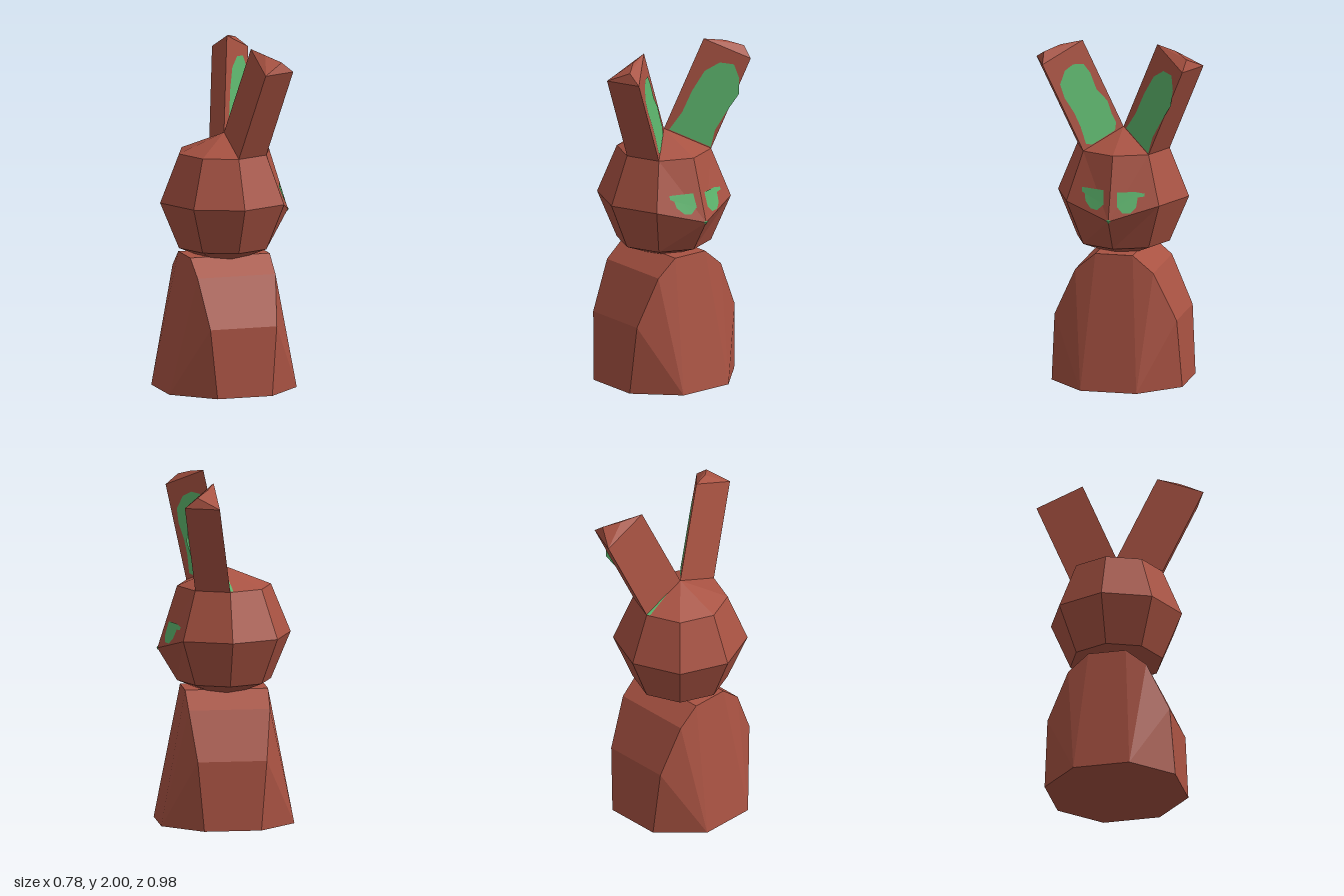
import * as THREE from 'three';

const V = (x, y, z) => new THREE.Vector3(x, y, z);

// Flat-faced closed solid from convex faces; each face is turned away from the centre
function solid(faces) {
  const centre = V(0, 0, 0), all = faces.flat(), out = [];
  all.forEach((p) => centre.addScaledVector(p, 1 / all.length));
  for (const f of faces) {
    for (let i = 1; i < f.length - 1; i++) {
      const t = [f[0], f[i], f[i + 1]];
      const n = t[1].clone().sub(t[0]).cross(t[2].clone().sub(t[0]));
      if (n.dot(t[0].clone().sub(centre)) < 0) t.reverse();
      out.push(...t);
    }
  }
  const g = new THREE.BufferGeometry().setFromPoints(out);
  g.computeVertexNormals();
  return g;
}

// Thin painted patch: outline given as [-z, y], laid onto planes that face +x
function patch(outline, triangles) {
  const g = new THREE.ShapeGeometry(new THREE.Shape(outline.map(([s, y]) => new THREE.Vector2(s, y))));
  const planes = triangles.map((t) => new THREE.Plane().setFromCoplanarPoints(...t));
  const p = g.attributes.position;
  for (let i = 0; i < p.count; i++) {
    const y = p.getY(i), z = -p.getX(i);
    const x = Math.max(...planes.map(({ normal: n, constant: c }) => -(c + n.y * y + n.z * z) / n.x));
    p.setXYZ(i, x + 0.004, y, z);
  }
  g.computeVertexNormals();
  return g;
}

export function createModel() {
  const model = new THREE.Group();
  const brown = new THREE.MeshStandardMaterial({ color: 0xa85242, flatShading: true });
  brown.name = 'redBrown';
  const green = new THREE.MeshStandardMaterial({ color: 0x5cb46c, side: THREE.DoubleSide });
  green.name = 'green';
  const add = (name, geometry, material) => {
    const m = new THREE.Mesh(geometry, material);
    m.name = name;
    model.add(m);
  };

  // Body: octagonal foot, straight front and back, rounded flanks
  const rows = [[0.165, 0, 0.385], [0.2, 0.4, 0.36], [0.235, 0.68, 0.23], [0.24, 0.78, 0.11]];
  const at = (i, sx, sz) => V(rows[i][0] * sx, rows[i][1], rows[i][2] * sz);
  const foot = (sx, sz) => V(0.385 * sx, 0, 0.165 * sz);
  const body = [
    [at(3, 1, 1), at(3, -1, 1), at(3, -1, -1), at(3, 1, -1)],
    [foot(1, 1), at(0, 1, 1), at(0, -1, 1), foot(-1, 1), foot(-1, -1), at(0, -1, -1), at(0, 1, -1), foot(1, -1)],
  ];
  for (const s of [1, -1]) {
    body.push([foot(s, 1), at(3, s, 1), at(3, s, -1), foot(s, -1)]);
    for (const t of [1, -1]) body.push([foot(s, t), at(3, s, t), at(2, s, t), at(1, s, t), at(0, s, t)]);
    for (let i = 0; i < 3; i++) body.push([at(i, 1, s), at(i, -1, s), at(i + 1, -1, s), at(i + 1, 1, s)]);
  }
  add('body', solid(body), brown);

  // Head: eight-sided ball with the snout corner pulled down
  const top = V(0, 1.48, 0), bottom = V(0, 0.71, 0);
  const ring = (r, y) => Array.from({ length: 8 }, (_, i) =>
    V(r * Math.cos((i * Math.PI) / 4), y, r * Math.sin((i * Math.PI) / 4)));
  const upper = ring(0.272, 1.37), middle = ring(0.386, 1.09), lower = ring(0.272, 0.82);
  middle[0].y = 1.01;
  const head = [];
  for (let i = 0; i < 8; i++) {
    const j = (i + 1) % 8;
    head.push([top, upper[i], upper[j]], [bottom, lower[i], lower[j]]);
    head.push(i === 7 ? [upper[i], upper[j], middle[j], middle[i]] : [upper[j], middle[j], middle[i], upper[i]]);
    head.push([middle[i], middle[j], lower[j], lower[i]]);
  }
  // Front cheeks fold from the upper side corner down to the snout
  const cheeks = [1, 7].map((k) => [
    [upper[0], upper[k], middle[0]], [upper[k], middle[k], middle[0]],
  ]);
  const skin = head.filter((f) => !(f.includes(upper[0]) && f.includes(middle[0])));
  add('head', solid([...skin, ...cheeks.flat()]), brown);

  // Ears: triangular prisms rising from the crown, with small faceted tips
  const innerEars = [
    [[-0.26, 1.87], [-0.21, 1.865], [-0.175, 1.81], [-0.14, 1.71], [-0.085, 1.64], [-0.06, 1.56], [-0.037, 1.51],
      [-0.04, 1.465], [-0.09, 1.435], [-0.15, 1.4], [-0.18, 1.41], [-0.21, 1.51], [-0.245, 1.595],
      [-0.295, 1.685], [-0.32, 1.765], [-0.3, 1.84]],
    [[0.275, 1.865], [0.335, 1.855], [0.35, 1.775], [0.34, 1.685], [0.275, 1.58], [0.217, 1.475], [0.19, 1.378],
      [0.02, 1.475], [0.085, 1.575], [0.14, 1.7], [0.205, 1.815]],
  ];
  const eyes = [
    [[-0.18, 1.178], [-0.042, 1.178], [-0.037, 1.1], [-0.075, 1.065], [-0.116, 1.07], [-0.153, 1.107],
      [-0.159, 1.145], [-0.18, 1.155]],
    [[0.037, 1.17], [0.138, 1.17], [0.19, 1.16], [0.19, 1.145], [0.153, 1.14], [0.148, 1.085], [0.12, 1.055],
      [0.075, 1.055], [0.042, 1.09]],
  ];
  [1, -1].forEach((s, i) => {
    const side = i ? 'Right' : 'Left';
    const base = [top, s > 0 ? upper[2] : upper[6], s > 0 ? upper[1] : upper[7]];
    const tip = base.map((p) => p.clone().add(V(0.09, 0.52, 0.22 * s)));
    const [a, b, c] = tip;
    const p = V(0.14, 1.98, 0.34 * s), q = V(0.21, 1.95, 0.42 * s);
    const walls = [0, 1, 2].map((k) => [base[k], base[(k + 1) % 3], tip[(k + 1) % 3], tip[k]]);
    add('ear' + side, solid([...walls, base, [a, p, b], [b, p, q], [b, q, c], [a, c, q], [a, q, p]]), brown);
    add('innerEar' + side, patch(innerEars[i], [[base[0], base[2], tip[2]]]), green);
    add('eye' + side, patch(eyes[i], cheeks[i]), green);
  });

  // Nose: tiny cap over the snout corner
  const lift = V(0.004, 0, 0);
  const snout = middle[0].clone().add(lift);
  const rim = [[upper[0], 0.03], [middle[1], 0.06], [lower[0], 0.07], [middle[7], 0.06]]
    .map(([n, t]) => middle[0].clone().lerp(n, t).add(lift));
  add('nose', solid(rim.map((r, i) => [snout, r, rim[(i + 1) % 4]])), green);

  // Thin green sliver beside the right ear
  const up = V(0, 0.004, 0);
  const sliver = [upper[6].clone(), upper[6].clone().lerp(upper[5], 0.1), upper[6].clone().lerp(top, 0.65)];
  const g = new THREE.BufferGeometry().setFromPoints(sliver.map((v) => v.add(up)));
  g.computeVertexNormals();
  if (g.attributes.normal.getY(0) < 0) {
    g.setFromPoints(sliver.reverse());
    g.computeVertexNormals();
  }
  add('crownMark', g, green);

  return model;
}
